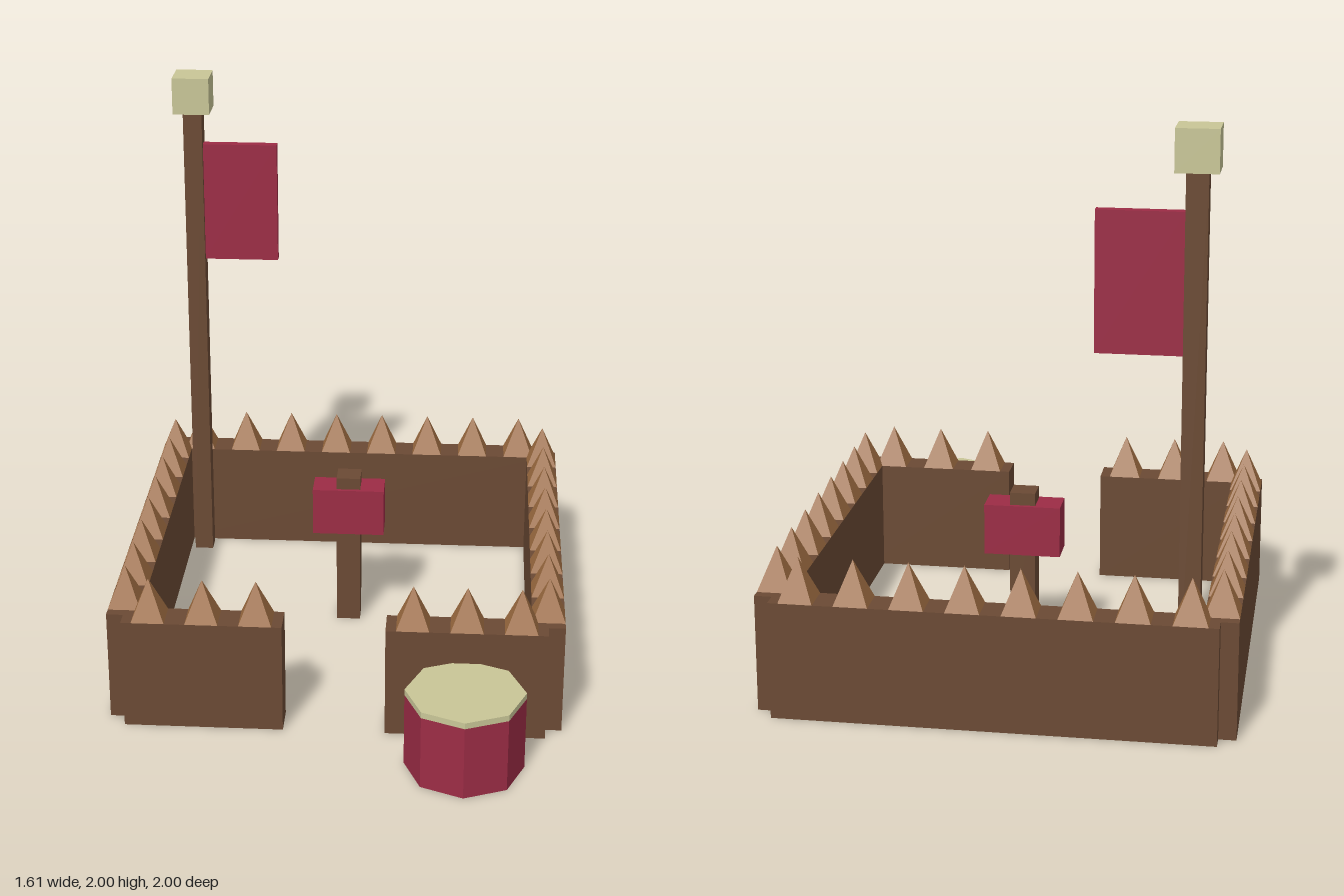
import * as THREE from 'three';

const flat = (name, color) => {
  const m = new THREE.MeshStandardMaterial({ color, flatShading: true });
  m.name = name;
  return m;
};

export function createModel() {
  const wood = flat('dark wood', 0x6b4a34);
  const stake = flat('light wood', 0xa06e42);
  const red = flat('crimson', 0x9c2c45);
  const cream = flat('cream', 0xc9c697);

  const model = new THREE.Group();
  model.name = 'palisadeCamp';

  const add = (parent, name, geometry, material, x, y, z) => {
    const mesh = new THREE.Mesh(geometry, material);
    mesh.name = name;
    mesh.position.set(x, y, z);
    parent.add(mesh);
    return mesh;
  };
  // box given by its minimum and maximum corners
  const box = (parent, name, material, [x0, y0, z0], [x1, y1, z1]) =>
    add(parent, name, new THREE.BoxGeometry(x1 - x0, y1 - y0, z1 - z0), material,
      (x0 + x1) / 2, (y0 + y1) / 2, (z0 + z1) / 2);

  // four-sided spike with its base edges along the axes
  const T = 0.116, H = 0.41, SPIKE = 0.147;
  const spikeGeo = new THREE.ConeGeometry(T / Math.SQRT2, SPIKE, 4).rotateY(Math.PI / 4);

  // wall with an evenly spaced row of spikes
  function wall(name, cx, cz, length, count, alongZ) {
    const g = new THREE.Group();
    g.name = name;
    g.position.set(cx, 0, cz);
    const geo = new THREE.BoxGeometry(alongZ ? T : length, H, alongZ ? length : T);
    add(g, name + 'Body', geo, wood, 0, H / 2, 0);
    for (let i = 0; i < count; i++) {
      const t = ((i + 0.5) / count - 0.5) * length;
      add(g, 'spike', spikeGeo, stake, alongZ ? 0 : t, H + SPIKE / 2, alongZ ? t : 0);
    }
    model.add(g);
  }
  wall('backWall', 0, -0.942, 1.49, 8, false);
  wall('leftWall', 0.747, -0.198, 1.49, 8, true);
  wall('rightWall', -0.747, -0.198, 1.49, 8, true);
  wall('frontLeftWall', 0.463, 0.547, 0.565, 3, false);
  wall('frontRightWall', -0.463, 0.547, 0.565, 3, false);

  // banner pole in the back corner
  const banner = new THREE.Group();
  banner.name = 'banner';
  model.add(banner);
  box(banner, 'pole', wood, [-0.672, 0, -0.866], [-0.6, 1.86, -0.794]);
  box(banner, 'poleCap', cream, [-0.706, 1.86, -0.9], [-0.566, 2, -0.76]);
  box(banner, 'flag', red, [-0.602, 1.265, -0.849], [-0.315, 1.73, -0.813]);

  // training post
  const dummy = new THREE.Group();
  dummy.name = 'trainingPost';
  model.add(dummy);
  box(dummy, 'post', wood, [-0.045, 0, -0.316], [0.045, 0.6, -0.226]);
  box(dummy, 'target', red, [-0.135, 0.373, -0.33], [0.135, 0.555, -0.212]);

  // eight-sided drum by the gate
  const drum = new THREE.Group();
  drum.name = 'drum';
  drum.position.set(0.463, 0, 0.792);
  model.add(drum);
  add(drum, 'drumBody', new THREE.CylinderGeometry(0.208, 0.208, 0.27, 8), red, 0, 0.135, 0);
  add(drum, 'drumHead', new THREE.CylinderGeometry(0.208, 0.208, 0.022, 8), cream, 0, 0.281, 0);

  return model;
}
